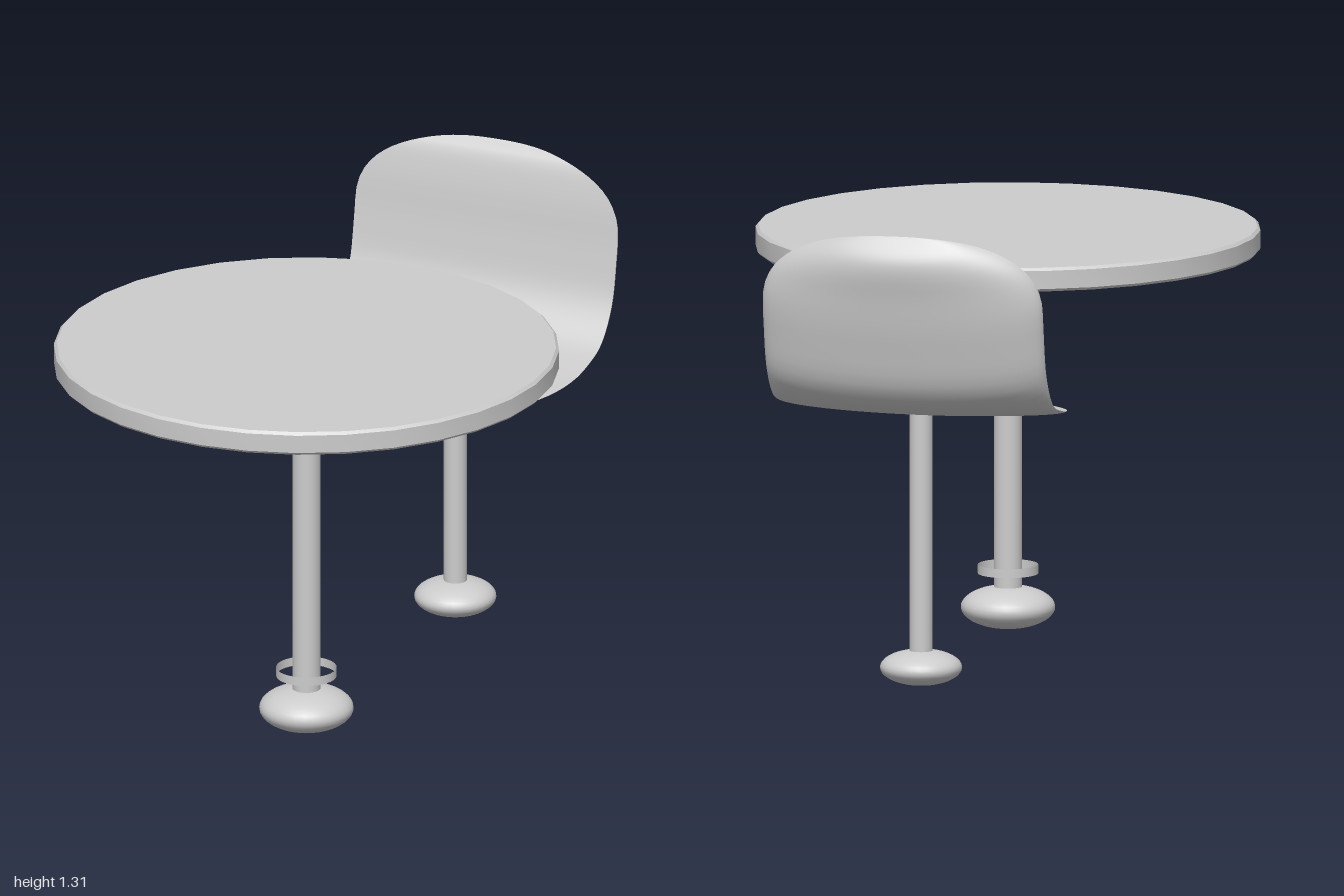
import * as THREE from 'three';
import { toCreasedNormals } from 'three/addons/utils/BufferGeometryUtils.js';

const grey = new THREE.MeshStandardMaterial({ color: 0xcccccc });
grey.name = 'light grey';
const greyThin = grey.clone();
greyThin.side = THREE.DoubleSide;

function add(parent, name, geometry, y = 0, material = grey) {
  const mesh = new THREE.Mesh(geometry, material);
  mesh.name = name;
  mesh.position.y = y;
  parent.add(mesh);
  return mesh;
}

// Upright post from y0 to y1
function addPost(parent, name, radius, y0, y1) {
  add(parent, name, new THREE.CylinderGeometry(radius, radius, y1 - y0, 32), (y0 + y1) / 2);
}

// Flattened ball foot
function addFoot(parent, name, radius, y0, y1) {
  add(parent, name, new THREE.SphereGeometry(radius, 32, 20), (y0 + y1) / 2)
    .scale.y = (y1 - y0) / 2 / radius;
}

// Smooth curve through [z, y] points
const sideCurve = (points) =>
  new THREE.CatmullRomCurve3(points.map(([z, y]) => new THREE.Vector3(0, y, z)));

// Sitting surface and the bulging underside, from front lip to top of back
const inner = sideCurve([
  [-0.3, 0.752], [-0.5, 0.768], [-0.68, 0.795], [-0.78, 0.83], [-0.85, 0.92],
  [-0.882, 1.05], [-0.905, 1.2], [-0.93, 1.285], [-0.96, 1.315],
]);
const outer = sideCurve([
  [-0.3, 0.75], [-0.5, 0.749], [-0.7, 0.772], [-0.82, 0.797], [-0.91, 0.86],
  [-0.956, 1.0], [-0.982, 1.13], [-0.998, 1.24], [-0.96, 1.315],
]);

// Half width of the shell: straight sides with rounded front and top
function halfWidth(p) {
  const d = p.y > 1.1 ? (p.y - 1.1) / 0.215 : Math.max(0, (p.z + 0.7) / 0.4);
  return Math.max(0.01, 0.4 * Math.pow(Math.max(0, 1 - Math.pow(d, 2.4)), 1 / 2.4));
}

// One skin of the seat shell; bulge pushes its middle out to the outer curve
function shellSkin(bulge) {
  const rows = 56, cols = 32, positions = [], index = [];
  for (let i = 0; i <= rows; i++) {
    const t = 0.5 - 0.5 * Math.cos(Math.PI * i / rows);
    const a = inner.getPoint(t), b = outer.getPoint(t), w = halfWidth(a);
    for (let j = 0; j <= cols; j++) {
      const angle = Math.PI * (j / cols - 0.5);
      const p = a.clone().lerp(b, bulge * Math.cos(angle));
      positions.push(w * Math.sin(angle), p.y, p.z);
      if (i === rows || j === cols) continue;
      const k = i * (cols + 1) + j, n = k + cols + 1;
      if (bulge) index.push(k, n, k + 1, k + 1, n, n + 1);
      else index.push(k, k + 1, n, k + 1, n + 1, n);
    }
  }
  const geometry = new THREE.BufferGeometry();
  geometry.setAttribute('position', new THREE.Float32BufferAttribute(positions, 3));
  geometry.setIndex(index);
  geometry.computeVertexNormals();
  return geometry;
}

export function createModel() {
  const model = new THREE.Group();
  model.name = 'tableAndChair';

  // Round pedestal table
  const table = new THREE.Group();
  table.name = 'table';
  table.position.z = 0.3;
  const topProfile = [
    [0, 1.067], [0.692, 1.067], [0.7, 1.075], [0.7, 1.126], [0.692, 1.134], [0, 1.134],
  ].map(([r, y]) => new THREE.Vector2(r, y));
  add(table, 'tableTop', toCreasedNormals(new THREE.LatheGeometry(topProfile, 32), 0.5));
  addPost(table, 'tablePost', 0.039, 0.06, 1.07);
  addFoot(table, 'tableFoot', 0.131, 0.003, 0.122);
  // Thin open bands around the post
  for (const [name, y] of [['lowerRing', 0.169], ['upperRing', 0.995]]) {
    add(table, name, new THREE.CylinderGeometry(0.084, 0.084, 0.025, 32, 1, true), y, greyThin);
  }

  // Chair with a curved shell on one post
  const chair = new THREE.Group();
  chair.name = 'chair';
  add(chair, 'seatFront', shellSkin(0));
  add(chair, 'seatBack', shellSkin(1));
  const stand = new THREE.Group();
  stand.name = 'chairStand';
  stand.position.z = -0.684;
  addPost(stand, 'chairPost', 0.032, 0.06, 0.78);
  addFoot(stand, 'chairFoot', 0.114, 0.01, 0.108);
  chair.add(stand);

  model.add(table, chair);
  return model;
}
